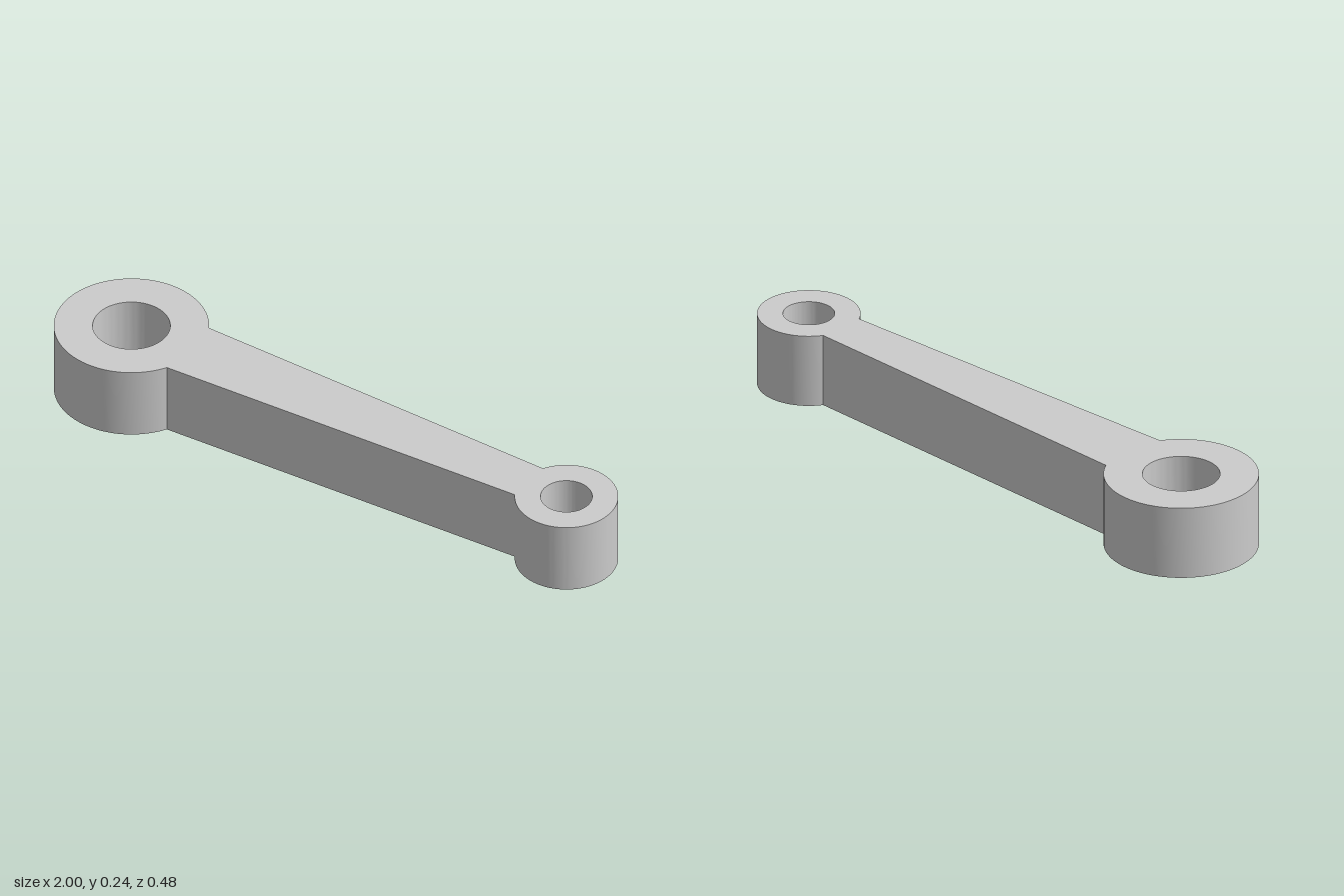
import * as THREE from 'three';
import { toCreasedNormals } from 'three/addons/utils/BufferGeometryUtils.js';

const HEIGHT = 0.24;
const BIG = { x: -0.76, outer: 0.24, bore: 0.12 };
const SMALL = { x: 0.84, outer: 0.16, bore: 0.08 };
const NECK = Math.PI / 6; // half angle at which the arm joins each ring

// Circular through-hole concentric with a ring
function bore(ring) {
  const hole = new THREE.Path();
  hole.absarc(ring.x, 0, ring.bore, 0, Math.PI * 2, true);
  return hole;
}

export function createModel() {
  const group = new THREE.Group();
  group.name = 'connectingRod';

  // Outline: big ring, tapered arm, small ring, tapered arm back
  const outline = new THREE.Shape();
  outline.absarc(BIG.x, 0, BIG.outer, NECK, 2 * Math.PI - NECK, false);
  outline.absarc(SMALL.x, 0, SMALL.outer, Math.PI + NECK, 3 * Math.PI - NECK, false);
  outline.closePath();
  outline.holes.push(bore(BIG), bore(SMALL));

  // Extrude upward; smooth round walls, sharp rims and neck corners
  const extruded = new THREE.ExtrudeGeometry(outline, {
    depth: HEIGHT,
    bevelEnabled: false,
    curveSegments: 48,
  });
  extruded.rotateX(-Math.PI / 2);

  const rod = new THREE.Mesh(
    toCreasedNormals(extruded, 0.5),
    new THREE.MeshStandardMaterial({ color: 0xcccccc })
  );
  rod.name = 'rodBody';
  group.add(rod);
  return group;
}
